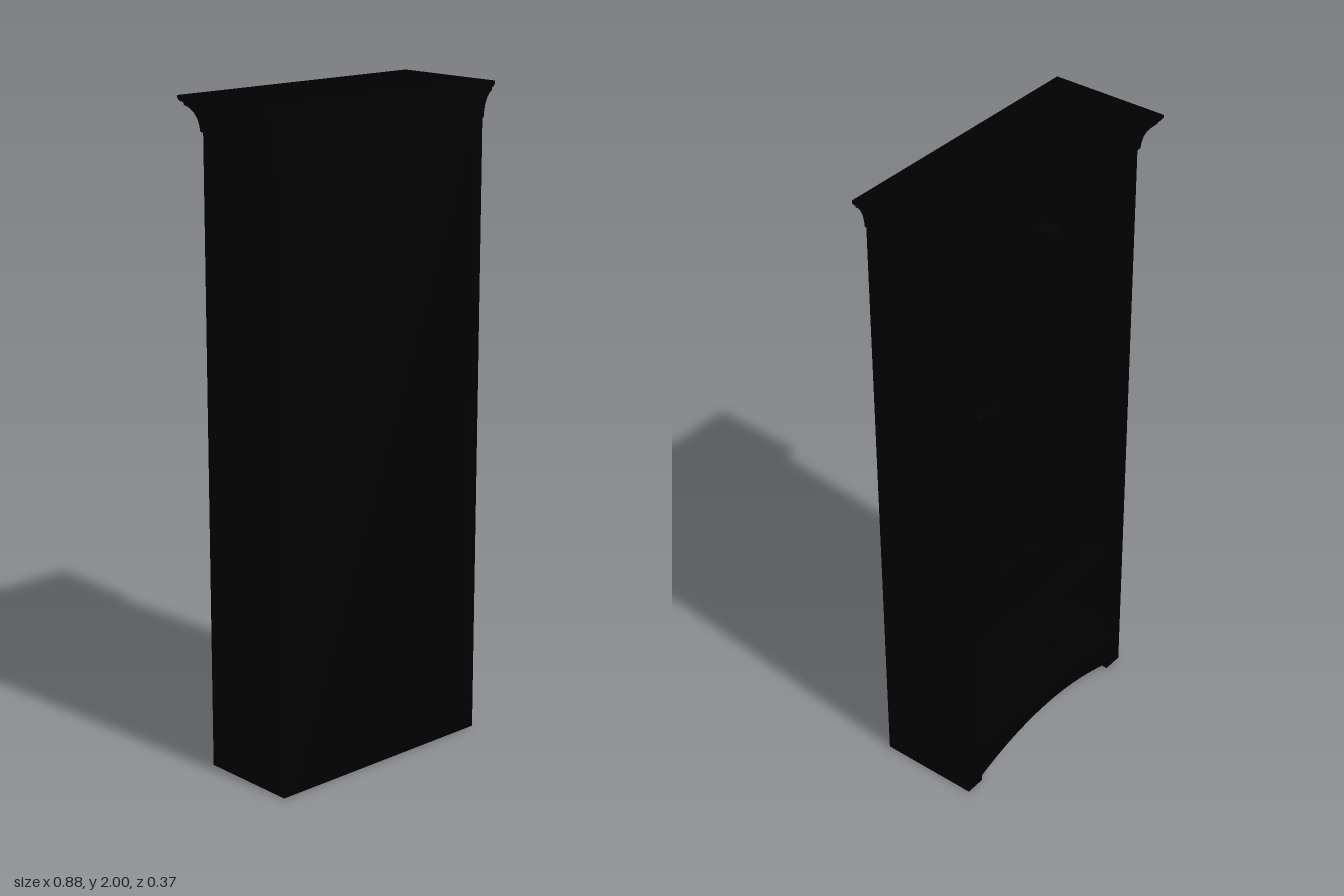
import * as THREE from 'three';
import { mergeGeometries, toCreasedNormals } from 'three/addons/utils/BufferGeometryUtils.js';

const black = new THREE.MeshStandardMaterial({ color: 0x000000 });

const HALF = 0.39;      // half width of the case
const FRONT = -0.135;   // open side faces -z
const BACK = 0.185;
const OPEN = 0.325;     // half width of the opening
const SHELVES = [0.15, 0.47, 0.77, 1.07, 1.38, 1.69]; // top surfaces

let seed = 7;
const rand = (a, b) => {
  seed = (seed * 16807) % 2147483647;
  return a + (b - a) * (seed / 2147483647);
};

function add(parent, name, geometry, x = 0, y = 0, z = 0) {
  const mesh = new THREE.Mesh(geometry, black);
  mesh.name = name;
  mesh.position.set(x, y, z);
  parent.add(mesh);
  return mesh;
}

// Box given by its two extreme corners
function block(parent, name, x0, x1, y0, y1, z0, z1) {
  return add(parent, name, new THREE.BoxGeometry(x1 - x0, y1 - y0, z1 - z0),
    (x0 + x1) / 2, (y0 + y1) / 2, (z0 + z1) / 2);
}

// Upright book: lower -x corner at the origin, spine on z = 0 facing -z
function bookGeometry(w, h, d) {
  const t = 0.003;
  const box = (x0, x1, y0, y1, z0, z1) => new THREE.BoxGeometry(x1 - x0, y1 - y0, z1 - z0)
    .translate((x0 + x1) / 2, (y0 + y1) / 2, (z0 + z1) / 2);
  return mergeGeometries([
    box(0, t, 0, h, 0, d),
    box(w - t, w, 0, h, 0, d),
    box(t, w - t, 0, h, 0, t),
    box(t, w - t, 0.005, h - 0.005, t, d - 0.006),
  ]);
}

// Row of upright books from xStart towards -x
function bookRow(parent, y, xStart, xEnd) {
  let x = xStart;
  while (x > xEnd + 0.018) {
    const w = Math.min(rand(0.018, 0.042), x - xEnd);
    x -= w;
    add(parent, 'uprightBook', bookGeometry(w - 0.001, rand(0.18, 0.245), rand(0.15, 0.19)),
      x, y, rand(-0.07, -0.05));
  }
}

// Books leaning towards -x
function leaningBooks(parent, y, x, angles) {
  angles.forEach((angle, i) => {
    const book = add(parent, 'leaningBook', bookGeometry(0.026, rand(0.19, 0.22), 0.16),
      x + i * 0.036, y, -0.06);
    book.rotation.z = angle;
  });
}

// Pile of flat books; returns the height of its top
function bookStack(parent, x, y, z, count, length) {
  for (let i = 0; i < count; i++) {
    const t = rand(0.018, 0.03);
    const l = length * rand(0.85, 1);
    const d = rand(0.14, 0.18);
    const geometry = bookGeometry(t, l, d).rotateZ(Math.PI / 2).translate(l / 2, 0, -d / 2);
    add(parent, 'flatBook', geometry, x, y, z).rotation.y = rand(-0.12, 0.12);
    y += t;
  }
  return y;
}

// Face frame with arched opening and arched plinth
function faceFrame() {
  const s = new THREE.Shape();
  s.moveTo(-HALF, 0);
  s.lineTo(-OPEN, 0);
  s.lineTo(-OPEN, 0.02);
  s.quadraticCurveTo(0, 0.14, OPEN, 0.02);
  s.lineTo(OPEN, 0);
  s.lineTo(HALF, 0);
  s.lineTo(HALF, 1.93);
  s.lineTo(-HALF, 1.93);
  s.closePath();
  const hole = new THREE.Path();
  hole.moveTo(-OPEN, 0.15);
  hole.lineTo(-OPEN, 1.77);
  hole.quadraticCurveTo(0, 1.95, OPEN, 1.77);
  hole.lineTo(OPEN, 0.15);
  hole.closePath();
  s.holes.push(hole);
  return new THREE.ExtrudeGeometry(s, { depth: 0.025, bevelEnabled: false, curveSegments: 24 });
}

// Cornice: rectangular rings that flare on the open side and both ends
function corniceGeometry() {
  const profile = [[0, 1.895], [0.006, 1.9], [0.007, 1.915], [0.011, 1.935], [0.018, 1.952],
    [0.028, 1.966], [0.038, 1.974], [0.038, 1.98], [0.045, 1.984], [0.05, 1.992], [0.05, 2]];
  const pos = [];
  const index = [];
  for (const [o, y] of profile) {
    const x = HALF + o;
    pos.push(-x, y, BACK, x, y, BACK, x, y, FRONT - o, -x, y, FRONT - o);
  }
  for (let i = 0; i < profile.length - 1; i++) {
    for (let k = 0; k < 4; k++) {
      const a = i * 4 + k;
      const b = i * 4 + (k + 1) % 4;
      index.push(a, b, b + 4, a, b + 4, a + 4);
    }
  }
  const n = (profile.length - 1) * 4;
  index.push(n, n + 1, n + 2, n, n + 2, n + 3);
  const g = new THREE.BufferGeometry();
  g.setAttribute('position', new THREE.Float32BufferAttribute(pos, 3));
  g.setIndex(index);
  return toCreasedNormals(g, 0.6);
}

export function createModel() {
  const model = new THREE.Group();
  model.name = 'bookcase';

  // Case
  const carcass = new THREE.Group();
  carcass.name = 'case';
  model.add(carcass);
  for (const s of [-1, 1]) {
    const x = s * (HALF - 0.0125);
    block(carcass, 'sidePanel', x - 0.0125, x + 0.0125, 0, 1.93, FRONT + 0.025, BACK);
  }
  block(carcass, 'backPanel', -HALF + 0.025, HALF - 0.025, 0, 1.93, BACK - 0.015, BACK);
  block(carcass, 'ceiling', -HALF + 0.025, HALF - 0.025, 1.88, 1.9, FRONT + 0.025, BACK - 0.015);
  add(carcass, 'faceFrame', faceFrame(), 0, 0, FRONT);
  add(carcass, 'cornice', corniceGeometry());
  for (const y of SHELVES) {
    block(carcass, 'shelf', -HALF + 0.025, HALF - 0.025, y - 0.025, y, FRONT + 0.025, BACK - 0.015);
  }

  // Contents, from the bottom shelf up
  const books = new THREE.Group();
  books.name = 'books';
  model.add(books);
  const [s0, s1, s2, s3, s4, s5] = SHELVES;

  bookStack(books, -0.18, s0, 0.03, 3, 0.26);
  bookStack(books, 0.1, s0, 0.03, 2, 0.24);
  const propped = block(books, 'proppedBook', -0.24, 0.09, s0, s0 + 0.24, 0.12, 0.14);
  propped.rotation.x = 0.12;

  bookRow(books, s1, 0.25, -0.36);
  leaningBooks(books, s1, 0.285, [0.16, 0.2]);

  bookRow(books, s2, 0.36, -0.36);

  const stackTop = bookStack(books, 0.15, s3, 0.03, 4, 0.26);
  leaningBooks(books, s3, -0.05, [0.2]);
  bookRow(books, s3, -0.09, -0.36);
  const bowl = [[0, 0], [0.04, 0], [0.045, 0.008], [0.08, 0.03], [0.1, 0.06],
    [0.094, 0.06], [0.07, 0.034], [0, 0.012]].map(([x, y]) => new THREE.Vector2(x, y));
  add(books, 'bowl', new THREE.LatheGeometry(bowl, 32), 0.14, stackTop, 0.03);

  bookRow(books, s4, 0.13, -0.36);
  leaningBooks(books, s4, 0.175, [0.22, 0.35, 0.42]);

  bookStack(books, 0.15, s5, 0.03, 4, 0.24);
  const tilted = block(books, 'tiltedBook', -0.24, -0.04, s5 + 0.035, s5 + 0.06, -0.05, 0.11);
  tilted.rotation.set(0, 0.5, 0.25);
  block(books, 'lowerBook', -0.25, -0.06, s5, s5 + 0.025, -0.05, 0.11);

  return model;
}
